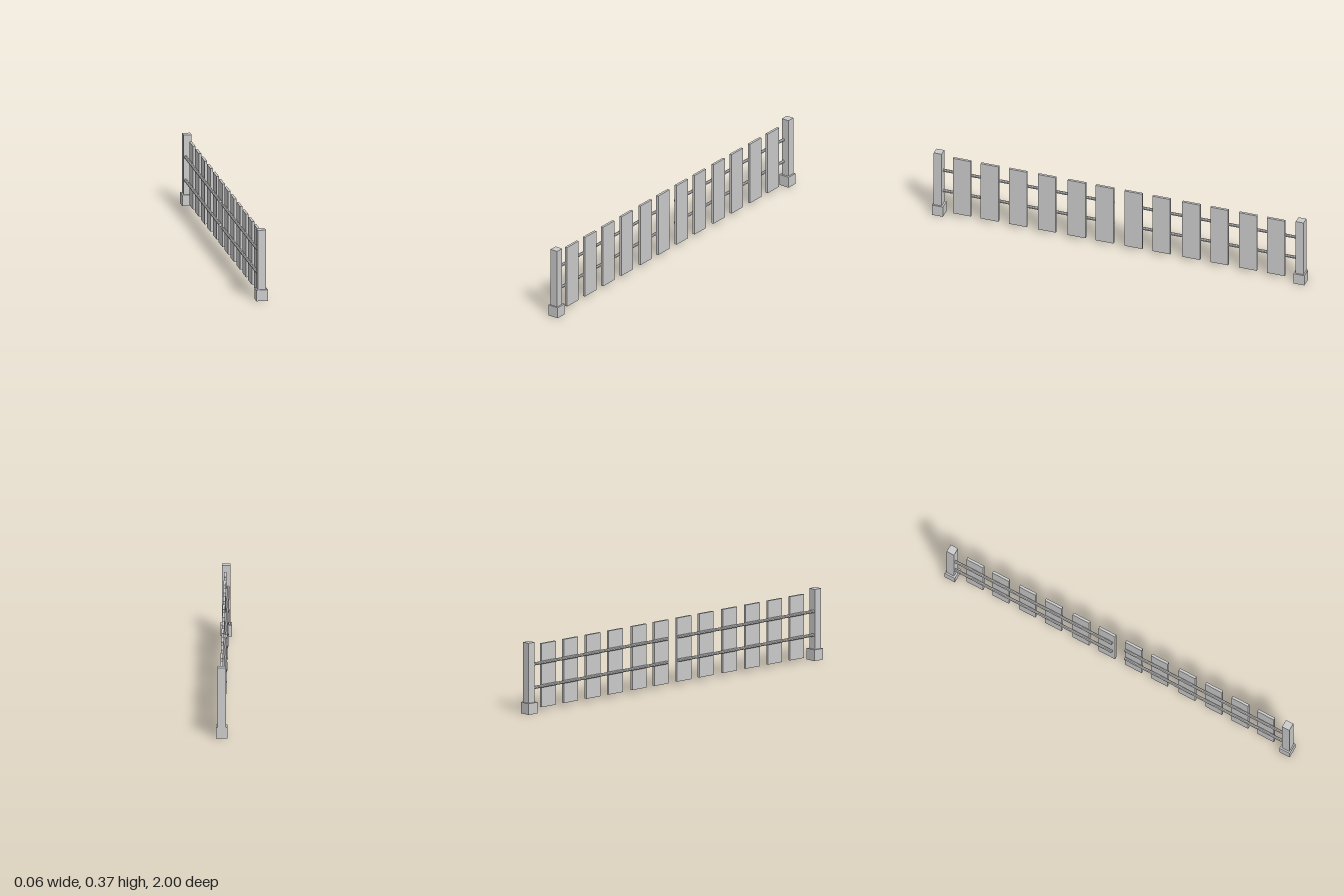
import * as THREE from 'three';

export function createModel() {
  const fence = new THREE.Group();
  fence.name = 'picketFence';
  const material = new THREE.MeshStandardMaterial({ color: 0xcccccc, flatShading: true });

  const add = (name, geometry, x, y, z) => {
    const mesh = new THREE.Mesh(geometry, material);
    mesh.name = name;
    mesh.position.set(x, y, z);
    fence.add(mesh);
    return mesh;
  };

  // End posts standing in square footings
  const footing = new THREE.BoxGeometry(0.059, 0.058, 0.059);
  const post = new THREE.BoxGeometry(0.042, 0.311, 0.042);
  for (const [side, s] of [['front', 1], ['back', -1]]) {
    add(side + 'Footing', footing, 0, 0.029, s * 0.9705);
    add(side + 'Post', post, 0, 0.2135, s * 0.972);
  }

  // Pickets, six on each half, with slightly uneven spacing
  const picket = new THREE.BoxGeometry(0.013, 0.33, 0.096);
  const pickets = [0.846, 0.697, 0.545, 0.39, 0.23, 0.08,
    -0.075, -0.225, -0.385, -0.536, -0.69, -0.84];
  pickets.forEach((z, i) => add('picket' + (i + 1), picket, 0.003, 0.185, z));

  // Two thin rails behind each half, with a gap in the middle
  for (const [side, z0, z1] of [['front', 0.033, 0.952], ['back', -0.952, -0.04]]) {
    const rail = new THREE.CylinderGeometry(0.008, 0.008, z1 - z0, 8);
    rail.rotateY(Math.PI / 8).rotateX(Math.PI / 2);
    add(side + 'LowerRail', rail, -0.011, 0.132, (z0 + z1) / 2);
    add(side + 'UpperRail', rail, -0.011, 0.254, (z0 + z1) / 2);
  }

  return fence;
}
